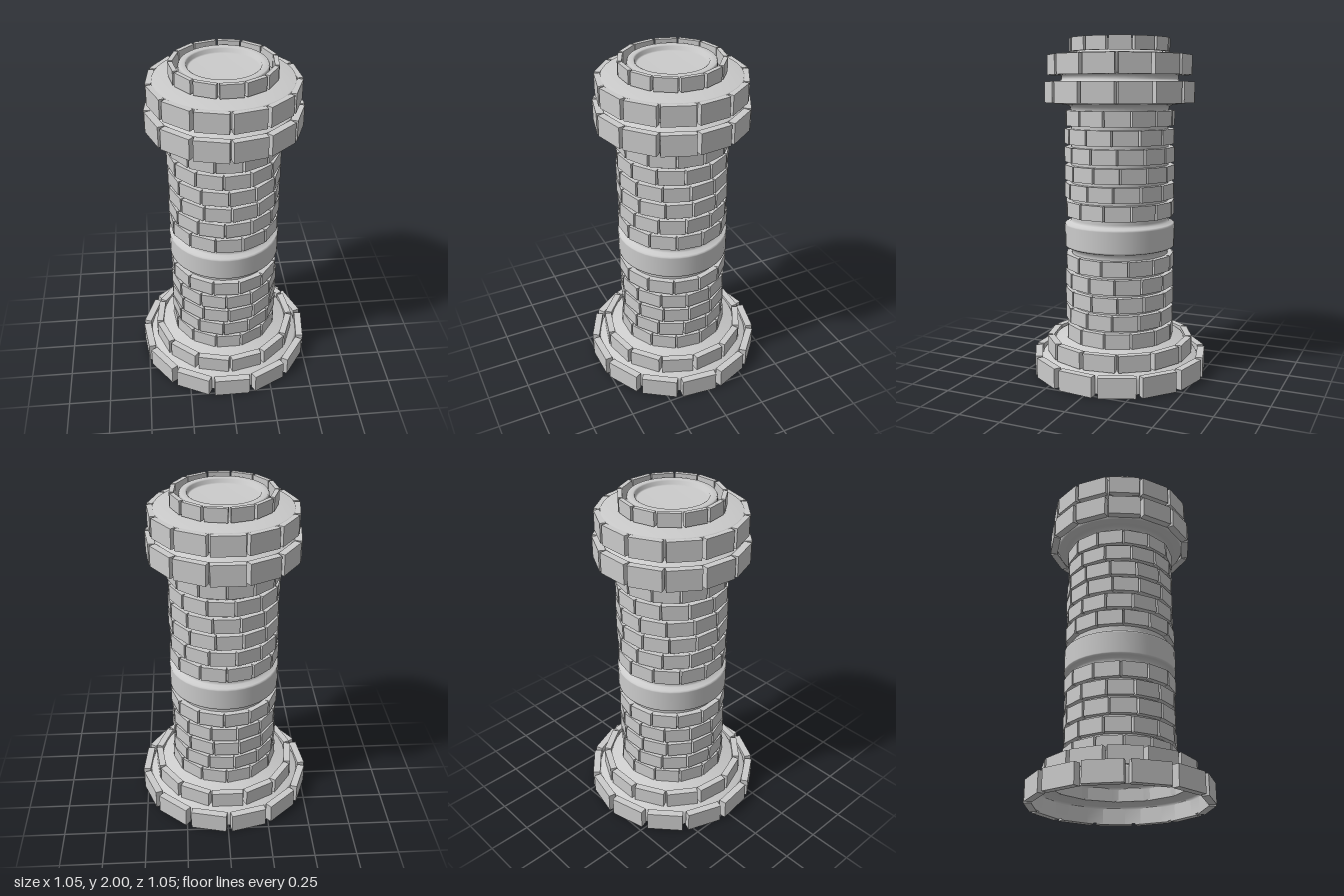
import * as THREE from 'three';

const BRICKS = 13;

export function createModel() {
  const tower = new THREE.Group();
  tower.name = 'brickTower';
  const stone = new THREE.MeshStandardMaterial({ color: 0xcccccc });
  const shell = new THREE.MeshStandardMaterial({ color: 0xcccccc, side: THREE.DoubleSide });

  // Smooth turned core, hollow and open underneath, with small bevels at the edges
  const profile = [
    // stepped foot
    [0.48, 0.005], [0.48, 0.09], [0.47, 0.105], [0.41, 0.12], [0.4, 0.13], [0.4, 0.19], [0.39, 0.205],
    [0.32, 0.215], [0.295, 0.235], [0.29, 0.26],
    // lower shaft and plain band
    [0.29, 0.74], [0.293, 0.765], [0.32, 0.772], [0.33, 0.778], [0.33, 0.785],
    [0.33, 0.905], [0.33, 0.912], [0.323, 0.917], [0.297, 0.925], [0.29, 0.94],
    // upper shaft and crown
    [0.29, 1.58], [0.295, 1.605], [0.32, 1.618], [0.385, 1.622], [0.395, 1.635],
    [0.395, 1.735], [0.385, 1.745], [0.35, 1.755], [0.345, 1.765], [0.345, 1.785],
    [0.385, 1.795], [0.395, 1.805], [0.395, 1.895], [0.388, 1.907],
    // top drum with a sunken disc
    [0.29, 1.912], [0.255, 1.92], [0.245, 1.935], [0.245, 1.98], [0.24, 1.988],
    [0.21, 1.988], [0.202, 1.983], [0.198, 1.965], [0.19, 1.96], [0, 1.96],
  ].map(([r, y]) => new THREE.Vector2(r, y));
  const core = new THREE.Mesh(new THREE.LatheGeometry(profile, 40), shell);
  core.name = 'core';
  tower.add(core);

  // One ring of flat bricks; phase shifts it by a fraction of a brick
  function addCourse(name, y0, y1, outer, depth, width, phase) {
    const course = new THREE.Group();
    course.name = name;
    const geometry = new THREE.BoxGeometry(width, y1 - y0, depth);
    geometry.translate(0, (y0 + y1) / 2, outer - depth / 2);
    for (let i = 0; i < BRICKS; i++) {
      const brick = new THREE.Mesh(geometry, stone);
      brick.name = 'brick';
      brick.rotation.y = ((i + phase) / BRICKS) * Math.PI * 2;
      course.add(brick);
    }
    tower.add(course);
  }

  // Foot, crown and top courses
  addCourse('footCourse', 0, 0.12, 0.518, 0.044, 0.216, 0.02);
  addCourse('upperFootCourse', 0.12, 0.218, 0.432, 0.04, 0.188, 0.5);
  addCourse('lowerCrownCourse', 1.628, 1.75, 0.432, 0.042, 0.19, 0.5);
  addCourse('upperCrownCourse', 1.788, 1.903, 0.416, 0.032, 0.182, 0.5);
  addCourse('topCourse', 1.922, 2, 0.292, 0.025, 0.125, 0.1);

  // Shaft courses below and above the band
  const lower = [0, 0.3, 0.5, 0.4, -0.1];
  const upper = [0, 0.35, 0.6, 0.5, 0.3, 0];
  const pitch = 0.1065;
  const addShaft = (name, start, phases) => phases.forEach((phase, i) => {
    const y = start + i * pitch;
    addCourse(name + (i + 1), y, y + 0.088, 0.32, 0.036, 0.145, phase);
  });
  addShaft('lowerShaftCourse', 0.218, lower);
  addShaft('upperShaftCourse', 0.963, upper);

  return tower;
}
